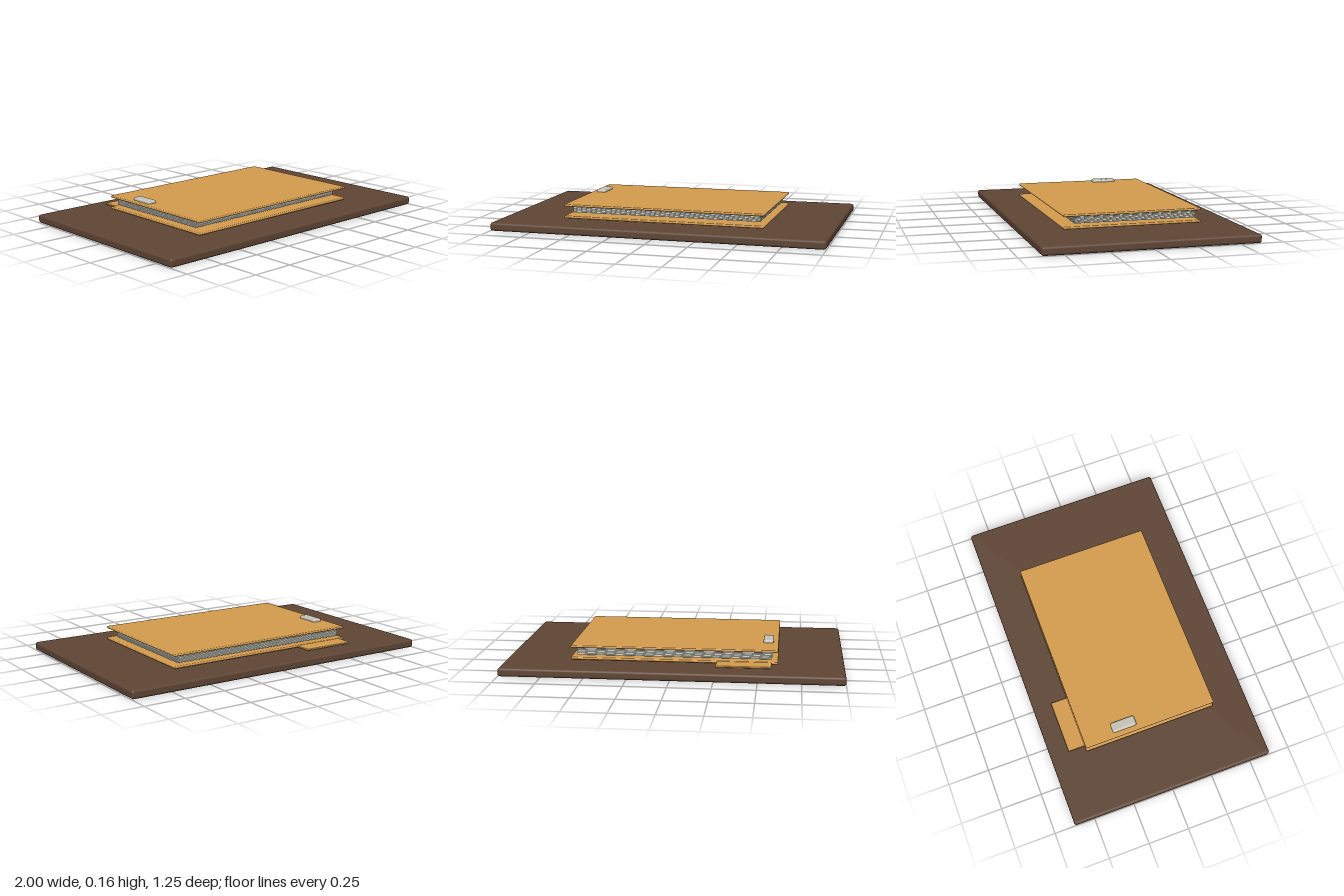
import * as THREE from 'three';
import { RoundedBoxGeometry } from 'three/addons/geometries/RoundedBoxGeometry.js';

const material = (name, color) => {
  const m = new THREE.MeshStandardMaterial({ color });
  m.name = name;
  return m;
};

export function createModel() {
  const wood = material('dark wood', 0x5f4635);
  const manila = material('manila card', 0xd69d4e);
  const paper = material('paper', 0xd8d8ce);
  const ink = material('ink', 0x3a3a38);
  const metal = material('clip metal', 0xc6c4b8);

  const model = new THREE.Group();
  model.name = 'folderOnBoard';

  // Box given by its lower and upper limits on each axis, with optional rounded edges
  function slab(name, mat, [x0, x1], [y0, y1], [z0, z1], radius = 0) {
    const size = [x1 - x0, y1 - y0, z1 - z0];
    const geometry = radius
      ? new RoundedBoxGeometry(...size, 3, radius)
      : new THREE.BoxGeometry(...size);
    const mesh = new THREE.Mesh(geometry, mat);
    mesh.name = name;
    mesh.position.set((x0 + x1) / 2, (y0 + y1) / 2, (z0 + z1) / 2);
    model.add(mesh);
  }

  // Board the folder lies on
  slab('board', wood, [-1, 1], [0, 0.05], [-0.624, 0.624], 0.014);

  // Folder covers and index tab
  const coverX = [-0.613, 0.61];
  const coverZ = [-0.41, 0.41];
  slab('backCover', manila, coverX, [0.058, 0.073], coverZ, 0.006);
  slab('frontCover', manila, coverX, [0.129, 0.143], coverZ, 0.006);
  slab('indexTab', manila, [-0.577, -0.255], [0.059, 0.07], [-0.511, -0.4], 0.004);

  // Stack of loose sheets
  for (let i = 0; i < 5; i++) {
    const y = 0.083 + i * 0.0077;
    slab('sheet', paper, [-0.578, 0.574], [y, y + 0.0058], [-0.386, 0.338]);
  }

  // Written lines on the top sheet
  for (let i = 0; i < 6; i++) {
    const z = 0.225 - i * 0.075;
    slab('writtenLine', ink, [-0.45, 0.4], [0.1196, 0.1216], [z - 0.003, z + 0.003]);
  }

  // Clip gripping the cover
  slab('clip', metal, [-0.583, -0.522], [0.115, 0.16], [-0.226, -0.076], 0.012);

  return model;
}
